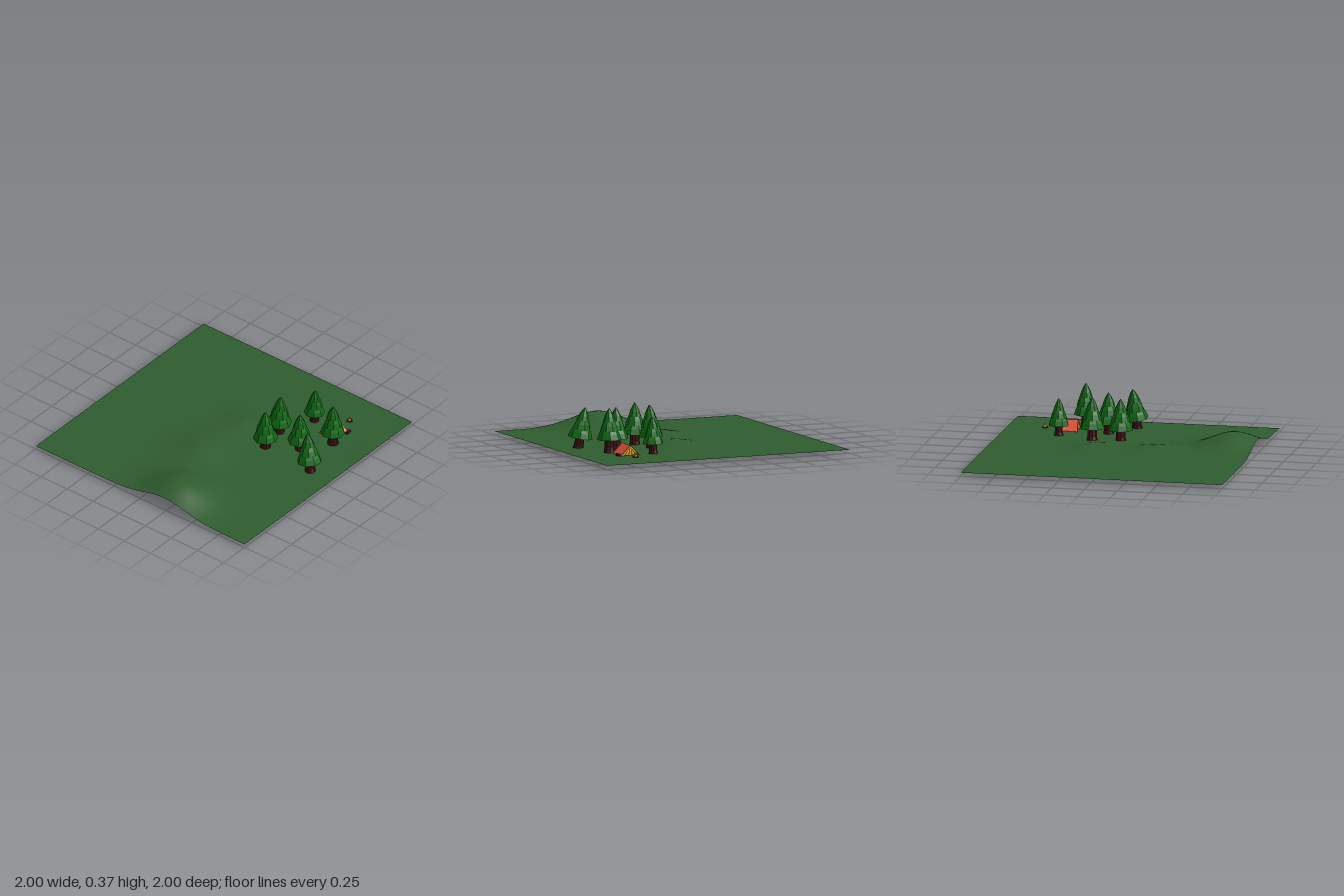
import * as THREE from 'three';

const mat = (name, color, side = THREE.FrontSide) =>
  Object.assign(new THREE.MeshStandardMaterial({ color, side }), { name });

export function createModel() {
  const grass = mat('grass green', 0x2f5c2f, THREE.DoubleSide);
  const needles = mat('needle green', 0x0e6a14);
  const bark = mat('bark brown', 0x3d1010);
  const canvas = mat('tent orange', 0xe2573c, THREE.DoubleSide);
  const yellow = mat('flame yellow', 0xe0a02c, THREE.DoubleSide);

  const model = new THREE.Group();
  model.name = 'campsite';

  const add = (parent, name, geometry, material, x = 0, y = 0, z = 0) => {
    const mesh = new THREE.Mesh(geometry, material);
    mesh.name = name;
    mesh.position.set(x, y, z);
    parent.add(mesh);
    return mesh;
  };
  // Faceted normals
  const facet = (geometry) => {
    const g = geometry.index ? geometry.toNonIndexed() : geometry;
    g.computeVertexNormals();
    return g;
  };

  // Ground with soft hills: x, z, height, spread in x, spread in z
  const hills = [
    [-0.82, 0.23, 0.13, 0.18, 0.19],
    [-0.27, 0.0, 0.045, 0.17, 0.15],
    [0.18, 0.05, 0.033, 0.12, 0.12],
    [0.43, 0.8, -0.009, 0.1, 0.1],
  ];
  const groundY = (x, z) => hills.reduce((y, [hx, hz, h, sx, sz]) =>
    y + h * Math.exp(-0.5 * (((x - hx) / sx) ** 2 + ((z - hz) / sz) ** 2)), 0.022);
  const ground = new THREE.PlaneGeometry(2, 2, 56, 56).rotateX(-Math.PI / 2);
  const gp = ground.attributes.position;
  for (let i = 0; i < gp.count; i++) gp.setY(i, groundY(gp.getX(i), gp.getZ(i)));
  ground.computeVertexNormals();
  add(model, 'ground', ground, grass);

  // Pine trees: three flared skirts on a thick trunk
  const v = (x, y) => new THREE.Vector2(x, y);
  const skirt = (bottom, top, r, rTop) => {
    const h = top - bottom;
    return facet(new THREE.LatheGeometry([
      v(0, bottom + 0.012), v(r, bottom), v(r * 0.74 + rTop * 0.26, bottom + h * 0.38),
      v(r * 0.38 + rTop * 0.62, bottom + h * 0.74), v(rTop, top),
    ], 8));
  };
  const skirts = [
    skirt(0.1, 0.21, 0.095, 0.04),
    skirt(0.165, 0.275, 0.072, 0.025),
    skirt(0.235, 0.34, 0.05, 0.0005),
  ];
  const trunk = facet(new THREE.LatheGeometry(
    [v(0, 0), v(0.045, 0), v(0.037, 0.04), v(0.033, 0.13), v(0, 0.14)], 9));

  // x, z, base height, width scale, height scale, lean in x, lean in z
  const trees = [
    [0.07, 0.34, 0.004, 1, 0.99, 0, 0],
    [0.28, 0.3, 0.012, 1, 0.995, 0, 0.05],
    [0.56, 0.415, 0.012, 0.84, 0.86, 0, 0.03],
    [0.21, 0.56, 0.003, 1, 0.975, 0, 0],
    [0.415, 0.71, 0.028, 0.98, 0.99, 0, 0],
    [0.04, 0.795, 0.002, 1, 0.97, 0.08, -0.15],
  ];
  trees.forEach(([x, z, y, w, h, leanX, leanZ], i) => {
    const tree = new THREE.Group();
    tree.name = `pineTree${i + 1}`;
    add(tree, 'trunk', trunk, bark);
    skirts.forEach((g, k) => { add(tree, 'foliage', g, needles).rotation.y = k * 0.35 + i * 0.7; });
    tree.scale.set(w, h, w);
    tree.position.set(x, y, z);
    tree.rotation.set(leanZ, 0, -leanX);
    model.add(tree);
  });

  // Tent, ridge along x
  const tent = new THREE.Group();
  tent.name = 'tent';
  tent.position.set(0.525, 0.025, 0.62);
  model.add(tent);
  const roof = new THREE.PlaneGeometry(2, 2, 8, 8);
  const rp = roof.attributes.position;
  for (let i = 0; i < rp.count; i++) {
    const u = rp.getX(i), s = -rp.getY(i), a = Math.abs(s);
    rp.setXYZ(i, u * (0.072 + 0.008 * a * a), 0.074 * (1 - a) + 0.005 * u * u * (1 - a),
      s * (0.07 + 0.008 * u * u));
  }
  add(tent, 'tentRoof', facet(roof), canvas);

  // Triangular panel across the tent, from z0 to z1 at the floor up to the apex
  const panel = (z0, z1, apexY) => new THREE.ShapeGeometry(
    new THREE.Shape([v(-z1, 0), v(-z0, 0), v(0, apexY)])).rotateY(Math.PI / 2);
  add(tent, 'backWall', panel(-0.074, 0.074, 0.076), canvas, -0.07);
  add(tent, 'frontCurtain', panel(-0.072, 0.072, 0.075), yellow, 0.07);
  for (const z of [-0.045, -0.015, 0.015, 0.045])
    add(tent, 'curtainFold', panel(z - 0.004, z + 0.004, 0.07), bark, 0.072);

  // Logs beside the tent
  const log = (parent, name, r, len, x, y, z, turn) => {
    const g = facet(new THREE.CylinderGeometry(r, r, len, 7).rotateZ(Math.PI / 2));
    add(parent, name, g, bark, x, y, z).rotation.y = turn;
  };
  log(model, 'seatLog', 0.011, 0.045, 0.588, 0.034, 0.717, 0.1);
  log(model, 'smallLog', 0.008, 0.02, 0.607, 0.03, 0.577, 0.4);

  // Campfire
  const fire = new THREE.Group();
  fire.name = 'campfire';
  fire.position.set(0.712, 0.025, 0.63);
  model.add(fire);
  for (let i = 0; i < 3; i++) log(fire, 'fireLog', 0.005, 0.044, 0, 0.005, 0, i * Math.PI / 3);
  add(fire, 'flame', facet(new THREE.ConeGeometry(0.015, 0.035, 6)), yellow, 0, 0.024, 0);
  return model;
}
